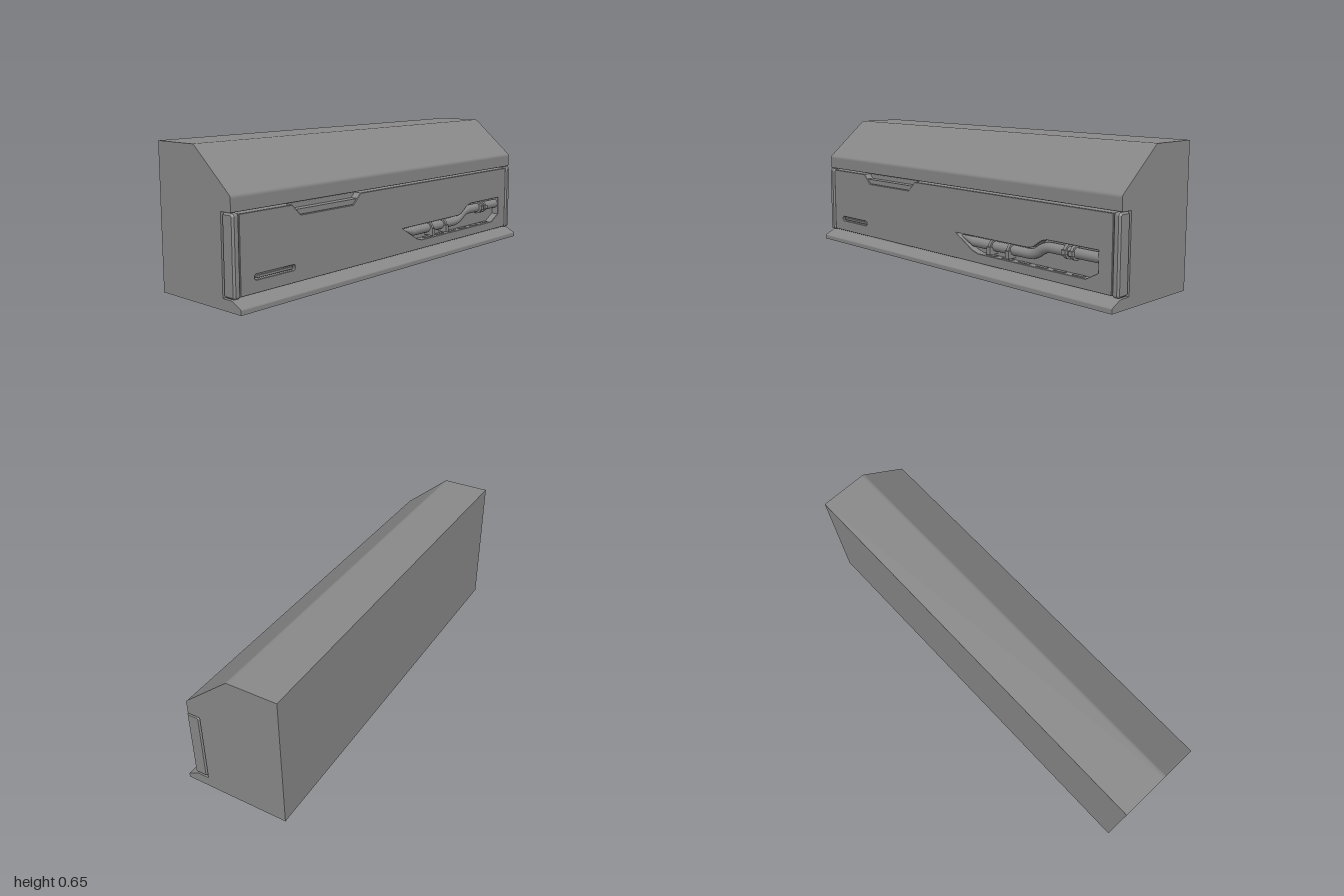
import * as THREE from 'three';

const material = new THREE.MeshStandardMaterial({ color: 0x888888 });

function add(group, name, geometry, x = 0, y = 0, z = 0) {
  const mesh = new THREE.Mesh(geometry, material);
  mesh.name = name;
  mesh.position.set(x, y, z);
  group.add(mesh);
  return mesh;
}

const polygon = (points, Type = THREE.Shape) =>
  new Type(points.map(([x, y]) => new THREE.Vector2(x, y)));

// Rounded rectangle outline, used for the end caps and the slot
function roundedRect(x0, y0, x1, y1, r, Type = THREE.Shape) {
  const s = new Type();
  s.absarc(x1 - r, y0 + r, r, -Math.PI / 2, 0, false);
  s.absarc(x1 - r, y1 - r, r, 0, Math.PI / 2, false);
  s.absarc(x0 + r, y1 - r, r, Math.PI / 2, Math.PI, false);
  s.absarc(x0 + r, y0 + r, r, Math.PI, Math.PI * 1.5, false);
  s.closePath();
  return s;
}

// Extrusion with a single flat chamfer
function extrude(shape, depth, bevel = 0) {
  const geometry = new THREE.ExtrudeGeometry(shape, {
    depth: depth - 2 * bevel, curveSegments: 8, bevelEnabled: bevel > 0,
    bevelThickness: bevel, bevelSize: bevel, bevelOffset: -bevel, bevelSegments: 1,
  });
  return geometry.translate(0, 0, bevel);
}

// Turns a (z, y) profile into a solid running along x
function alongX(shape, width, bevel = 0) {
  return extrude(shape, width, bevel).translate(0, 0, -width / 2).rotateY(-Math.PI / 2);
}

export function createModel() {
  const model = new THREE.Group();
  model.name = 'cabinet';

  // Housing: sloping hood above, foot ledge below, recess for the front panel
  const profile = new THREE.Shape();
  profile.moveTo(-0.252, 0);
  profile.lineTo(0.252, 0);
  profile.lineTo(0.252, 0.017);
  profile.quadraticCurveTo(0.252, 0.022, 0.248, 0.024);
  profile.lineTo(0.205, 0.046);
  profile.quadraticCurveTo(0.2, 0.049, 0.192, 0.049);
  profile.lineTo(0.143, 0.049);
  profile.lineTo(0.143, 0.396);
  profile.lineTo(0.197, 0.396);
  profile.quadraticCurveTo(0.203, 0.396, 0.203, 0.402);
  profile.lineTo(0.204, 0.452);
  profile.quadraticCurveTo(0.204, 0.461, 0.197, 0.467);
  profile.lineTo(-0.007, 0.64);
  profile.quadraticCurveTo(-0.015, 0.648, -0.028, 0.648);
  profile.lineTo(-0.252, 0.648);
  profile.closePath();
  add(model, 'housing', alongX(profile, 2));

  // Front panel with handle notch, slot and pipe opening
  const panel = new THREE.Group();
  panel.name = 'frontPanel';
  model.add(panel);
  const outline = polygon([
    [-0.963, 0.057], [0.963, 0.057], [0.963, 0.389], [-0.258, 0.389],
    [-0.306, 0.341], [-0.632, 0.341], [-0.68, 0.389], [-0.963, 0.389],
  ]);
  outline.holes.push(
    roundedRect(-0.889, 0.112, -0.668, 0.135, 0.01, THREE.Path),
    polygon([
      [0.045, 0.18], [0.51, 0.18], [0.54, 0.187], [0.59, 0.222], [0.62, 0.23],
      [0.893, 0.23], [0.893, 0.137], [0.83, 0.102], [0.2, 0.102], [0.16, 0.113],
    ], THREE.Path));
  add(panel, 'panelFace', extrude(outline, 0.04, 0.002), 0, 0, 0.168);
  add(panel, 'panelBack', new THREE.BoxGeometry(1.93, 0.332, 0.02), 0, 0.223, 0.16);

  // Handle lip, set back within the notch
  const lip = polygon([[-0.632, 0.341], [-0.306, 0.341], [-0.28, 0.367], [-0.658, 0.367]]);
  add(panel, 'handleLip', extrude(lip, 0.034, 0.002), 0, 0, 0.17);

  // Bar inside the slot
  add(panel, 'slotBar', extrude(roundedRect(-0.882, 0.117, -0.675, 0.13, 0.006), 0.035, 0.002), 0, 0, 0.17);

  // Chamfered end caps
  for (const side of [-1, 1]) {
    const cap = alongX(roundedRect(0.147, 0.052, 0.214, 0.394, 0.014), 0.035, 0.008);
    add(model, side > 0 ? 'leftEndCap' : 'rightEndCap', cap, side * 0.9825, 0, 0);
  }

  // Pipe stepping up along the opening, with a tapered nose
  const pipes = new THREE.Group();
  pipes.name = 'pipework';
  panel.add(pipes);
  const path = new THREE.CurvePath();
  const v = (x, y) => new THREE.Vector3(x, y, 0.182);
  path.add(new THREE.LineCurve3(v(0.15, 0.148), v(0.49, 0.148)));
  path.add(new THREE.QuadraticBezierCurve3(v(0.49, 0.148), v(0.53, 0.148), v(0.56, 0.171)));
  path.add(new THREE.QuadraticBezierCurve3(v(0.56, 0.171), v(0.59, 0.194), v(0.63, 0.194)));
  path.add(new THREE.LineCurve3(v(0.63, 0.194), v(0.893, 0.194)));
  add(pipes, 'pipe', new THREE.TubeGeometry(path, 80, 0.023, 16));
  const nose = new THREE.CylinderGeometry(0.004, 0.023, 0.09, 16).rotateZ(Math.PI / 2);
  // Raise the nose tip to follow the pointed end of the opening
  const pos = nose.attributes.position;
  for (let i = 0; i < pos.count; i++) {
    if (pos.getX(i) < 0) pos.setY(i, pos.getY(i) + 0.018);
  }
  nose.computeVertexNormals();
  add(pipes, 'pipeNose', nose, 0.105, 0.148, 0.182);

  // Clamps around the pipe, each a band with a wider lug
  const clamps = [
    [0.28, 0.148, 0.13, 0.035], [0.395, 0.148, 0.13, 0.035],
    [0.72, 0.194, 0.195, 0.02], [0.757, 0.194, 0.195, 0.02],
  ];
  for (const [x, y, lugY, lugHeight] of clamps) {
    const band = new THREE.CylinderGeometry(0.032, 0.032, 0.015, 24).rotateZ(Math.PI / 2);
    add(pipes, 'clampBand', band, x, y, 0.182);
    add(pipes, 'clampLug', new THREE.BoxGeometry(0.022, lugHeight, 0.076), x, lugY, 0.182);
  }

  // Thin raised strips on the floor of the opening
  for (let i = 0; i < 6; i++) {
    add(pipes, 'floorStrip', new THREE.BoxGeometry(0.06, 0.004, 0.02), 0.27 + i * 0.102, 0.103, 0.187);
  }
  return model;
}
